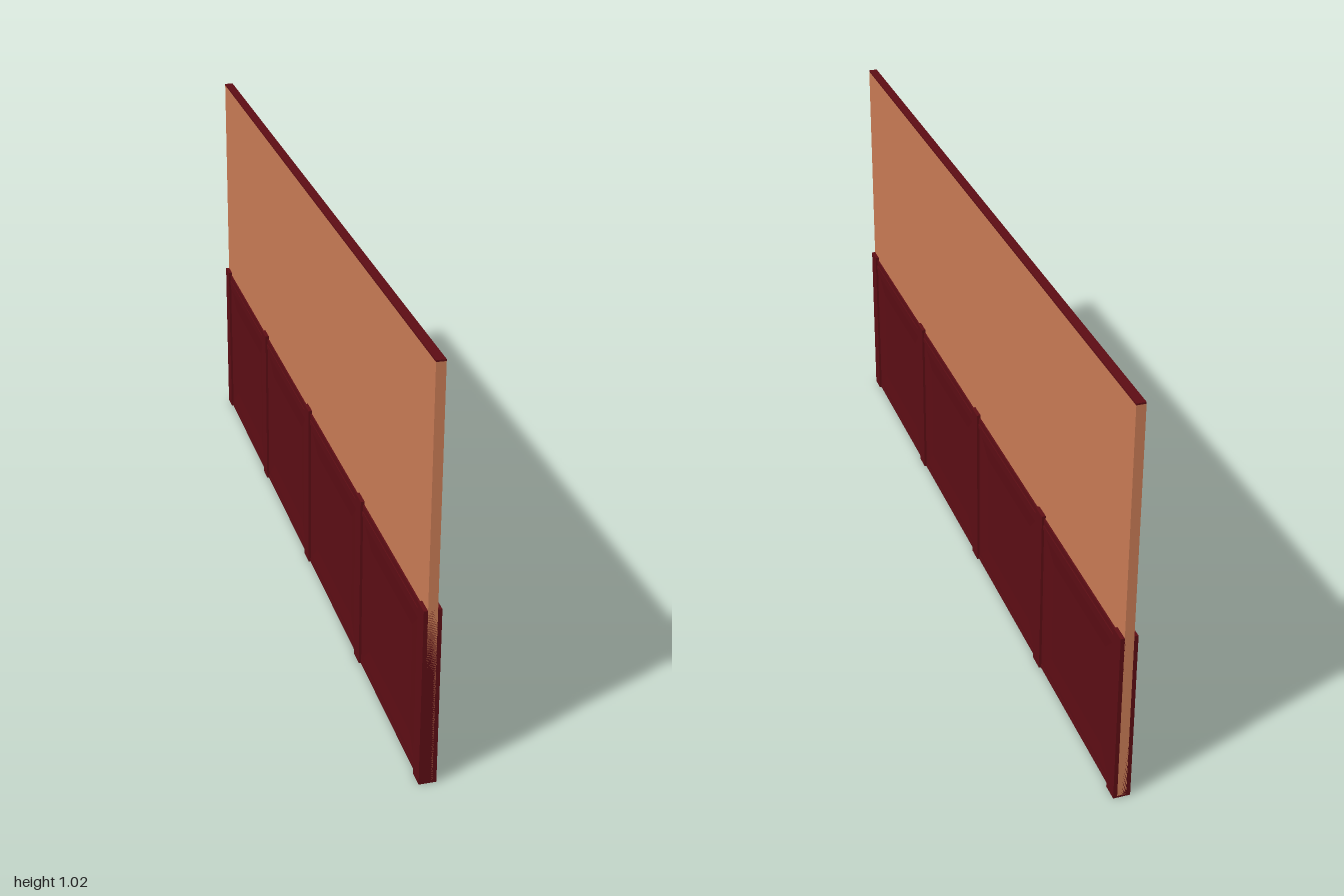
import * as THREE from 'three';

const red = new THREE.MeshStandardMaterial({ color: 0x5c0d14, flatShading: true });
const orange = new THREE.MeshStandardMaterial({ color: 0xc97b55, flatShading: true });

function box(name, material, w, y0, y1, z0, z1) {
  const mesh = new THREE.Mesh(new THREE.BoxGeometry(w, y1 - y0, z1 - z0), material);
  mesh.position.set(0, (y0 + y1) / 2, (z0 + z1) / 2);
  mesh.name = name;
  return mesh;
}

// Recessed panel facing +x: nested rectangles [inset, depth], joined ring by ring
function panelGeometry(width, y0, y1) {
  const rings = [[0, 0.0145], [0.015, 0.0145], [0.06, 0.0118]];
  const pos = [], index = [];
  for (const [inset, x] of rings) {
    const z = width / 2 - inset;
    pos.push(x, y0 + inset, z, x, y0 + inset, -z, x, y1 - inset, -z, x, y1 - inset, z);
  }
  for (let r = 0; r < rings.length - 1; r++) {
    for (let i = 0; i < 4; i++) {
      const a = r * 4 + i, b = r * 4 + (i + 1) % 4;
      index.push(a, b, b + 4, a, b + 4, a + 4);
    }
  }
  const c = (rings.length - 1) * 4;
  index.push(c, c + 1, c + 2, c, c + 2, c + 3);
  const geometry = new THREE.BufferGeometry();
  geometry.setAttribute('position', new THREE.Float32BufferAttribute(pos, 3));
  geometry.setIndex(index);
  const flat = geometry.toNonIndexed();
  flat.computeVertexNormals();
  return flat;
}

export function createModel() {
  const group = new THREE.Group();

  // Upper wall with a thin dark cap
  group.add(box('wall', orange, 0.022, 0.005, 1.02, -1, 1));
  group.add(box('wallCap', red, 0.022, 1.02, 1.024, -1, 1));

  // Posts
  const posts = [[-1, -0.958], [-0.51, -0.466], [-0.022, 0.022], [0.47, 0.515], [0.958, 1]];
  posts.forEach(([z0, z1]) => group.add(box('post', red, 0.041, 0, 0.447, z0, z1)));

  // Wainscot bays between the posts, panelled on both faces
  for (let i = 0; i < posts.length - 1; i++) {
    const z0 = posts[i][1], z1 = posts[i + 1][0];
    group.add(box('bottomRail', red, 0.031, 0, 0.01, z0, z1));
    group.add(box('topRail', red, 0.034, 0.41, 0.422, z0, z1));
    group.add(box('topMoulding', red, 0.03, 0.422, 0.438, z0, z1));
    const geometry = panelGeometry(z1 - z0, 0.01, 0.41);
    for (const turn of [0, Math.PI]) {
      const panel = new THREE.Mesh(geometry, red);
      panel.name = 'recessedPanel';
      panel.position.z = (z0 + z1) / 2;
      panel.rotation.y = turn;
      group.add(panel);
    }
  }
  return group;
}
